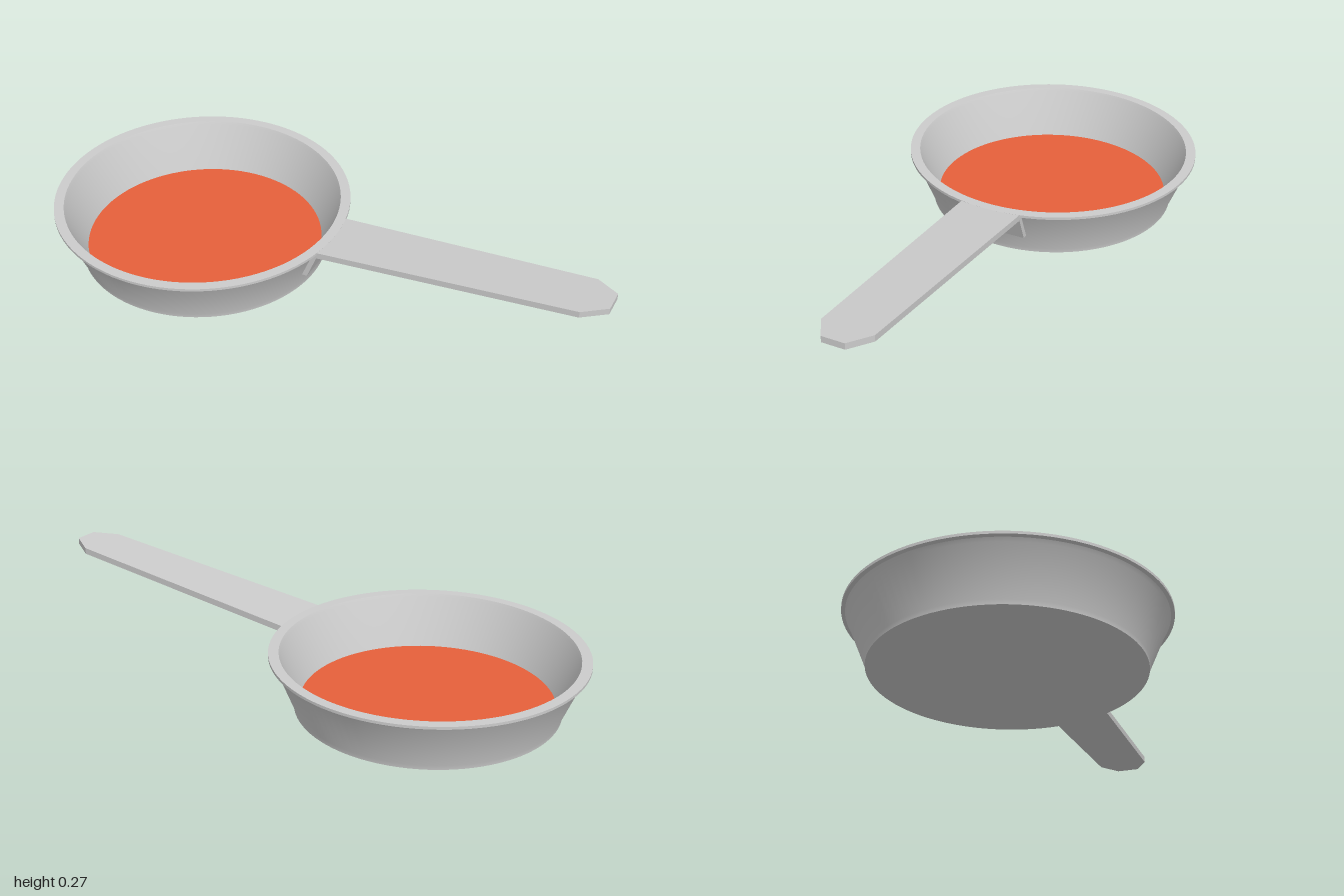
import * as THREE from 'three';
import { toCreasedNormals } from 'three/addons/utils/BufferGeometryUtils.js';

const PAN_X = -0.483;

export function createModel() {
  const model = new THREE.Group();
  const grey = new THREE.MeshStandardMaterial({ color: 0xcccccc });
  const red = new THREE.MeshStandardMaterial({ color: 0xe6603a });

  const add = (name, geometry, material) => {
    const mesh = new THREE.Mesh(geometry, material);
    mesh.name = name;
    model.add(mesh);
    return mesh;
  };

  // Pan body: underside, flared outer wall, flat rim, inner wall
  const profile = [
    [0, 0], [0.435, 0], [0.437, 0.015], [0.498, 0.165], [0.505, 0.176],
    [0.517, 0.179], [0.517, 0.188], [0.483, 0.188], [0.478, 0.178], [0.415, 0.016],
  ].map(([r, y]) => new THREE.Vector2(r, y));
  const body = toCreasedNormals(new THREE.LatheGeometry(profile, 96), 0.6);
  add('panBody', body, grey).position.x = PAN_X;

  // Coloured cooking surface
  const floor = new THREE.CircleGeometry(0.415, 96).rotateX(-Math.PI / 2);
  add('cookingSurface', floor, red).position.set(PAN_X, 0.016, 0);

  // Handle: tapered plan with a clipped tip, sheared so it rises outwards
  const side = [[0.012, 0.109], [0.92, 0.09], [1, 0.04]];
  const outline = [...side.map(([x, z]) => [x, -z]), ...side.reverse()];
  const plan = new THREE.Shape(outline.map(([x, z]) => new THREE.Vector2(x, z)));
  const handle = new THREE.ExtrudeGeometry(plan, { depth: 0.022, bevelEnabled: false });
  handle.rotateX(-Math.PI / 2);
  const shear = new THREE.Matrix4().makeShear(0.0866, 0, 0, 0, 0, 0);
  handle.applyMatrix4(shear).translate(0, 0.163, 0);
  handle.computeVertexNormals();
  add('handle', handle, grey);

  // Mounting plate leaning against the outer wall below the handle
  const plate = new THREE.BoxGeometry(0.02, 0.095, 0.218);
  plate.applyMatrix4(new THREE.Matrix4().makeShear(0, 0, 0.41, 0, 0, 0));
  plate.computeVertexNormals();
  add('mountingPlate', plate, grey).position.set(-0.006, 0.125, 0);

  return model;
}
